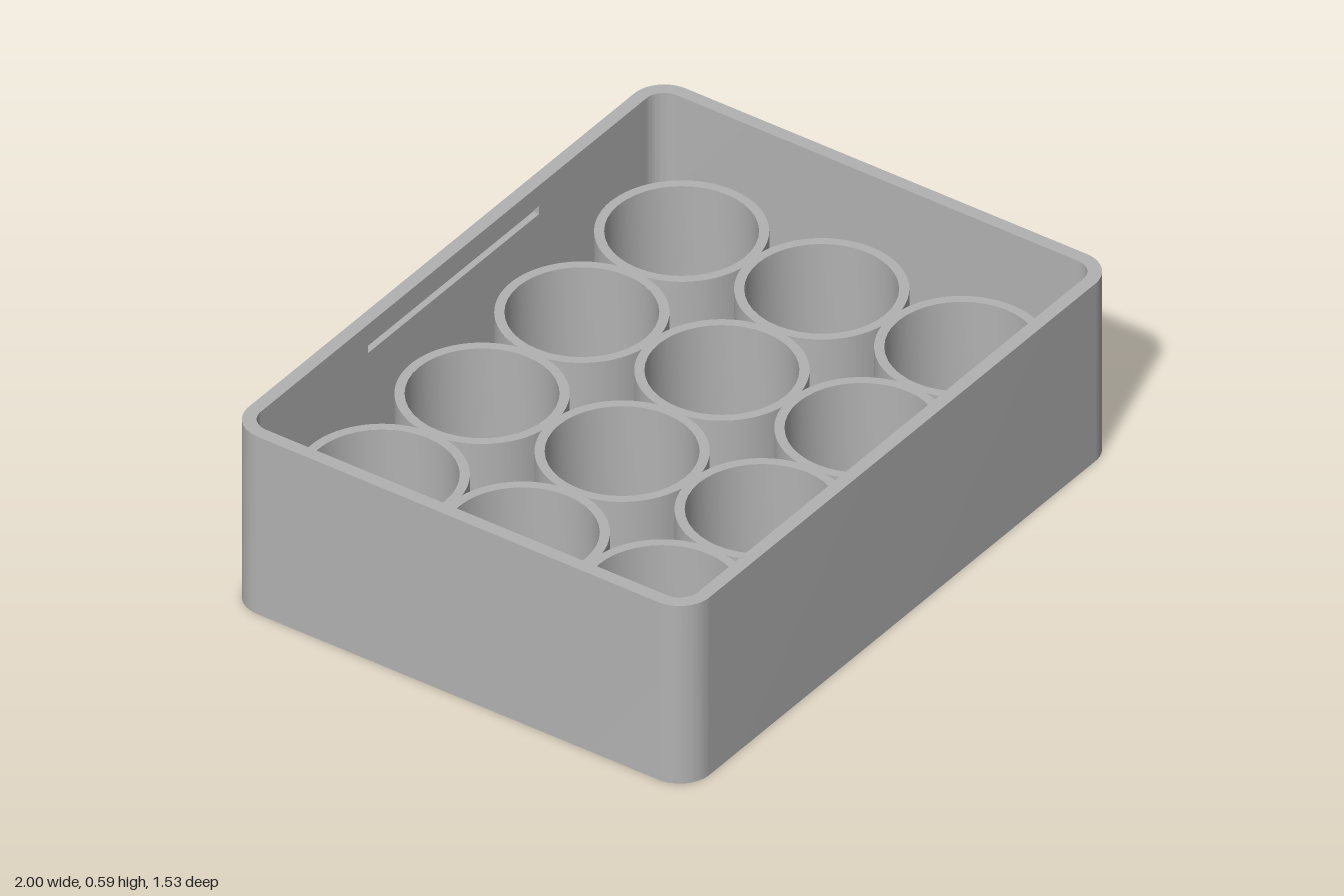
import * as THREE from 'three';
import { mergeGeometries, toCreasedNormals } from 'three/addons/utils/BufferGeometryUtils.js';

const W = 1, D = 0.767, H = 0.59, WALL = 0.04, FLOOR = 0.04; // half width, half depth, height
const R_OUT = 0.1, R_IN = 0.06;
const IW = W - WALL, ID = D - WALL;
const PITCH = 0.466, TUBE_OUT = 0.2375, TUBE_IN = 0.21, TUBE_TOP = 0.373;
const SLOT = { half: 0.4, y0: 0.495, y1: 0.522, depth: 0.02 };
const PI = Math.PI;

function roundedRect(w, d, r) {
  const s = new THREE.Shape();
  s.absarc(w - r, -d + r, r, -PI / 2, 0);
  s.absarc(w - r, d - r, r, 0, PI / 2);
  s.absarc(-w + r, d - r, r, PI / 2, PI);
  s.absarc(-w + r, -d + r, r, PI, 1.5 * PI);
  s.closePath();
  return s;
}

// Vertical wall along a plan outline, facing out when the points run anticlockwise
function wallStrip(points, y0, y1) {
  const pos = [];
  for (let i = 0; i < points.length - 1; i++) {
    const p = points[i], q = points[i + 1];
    if (p.distanceTo(q) < 1e-6) continue;
    const a = [p.x, y0, -p.y], b = [q.x, y0, -q.y], c = [q.x, y1, -q.y], d = [p.x, y1, -p.y];
    pos.push(...a, ...b, ...c, ...a, ...c, ...d);
  }
  const g = new THREE.BufferGeometry();
  g.setAttribute('position', new THREE.Float32BufferAttribute(pos, 3));
  return toCreasedNormals(g, 0.6);
}

// Flat plan shape lying at height y
function flat(shape, y, up = true) {
  return new THREE.ShapeGeometry(shape, 12).rotateX(up ? -PI / 2 : PI / 2).translate(0, y, 0);
}

// Scalloped block of joined tubes: outline, gaps between tubes, and bores
function tubeGridShape() {
  const cut = Math.acos(PITCH / 2 / TUBE_OUT);
  const xs = [-1.5, -0.5, 0.5, 1.5].map((k) => k * PITCH);
  const zs = [-1, 0, 1].map((k) => k * PITCH);
  const ring = [
    ...xs.map((x) => [x, zs[0]]), [xs[3], zs[1]],
    ...xs.slice().reverse().map((x) => [x, zs[2]]), [xs[0], zs[1]],
  ];
  const shape = new THREE.Shape();
  ring.forEach(([x, z], i) => {
    const prev = ring[(i + ring.length - 1) % ring.length], next = ring[(i + 1) % ring.length];
    const start = Math.atan2(prev[1] - z, prev[0] - x) + cut;
    let end = Math.atan2(next[1] - z, next[0] - x) - cut;
    while (end < start) end += 2 * PI;
    shape.absarc(x, z, TUBE_OUT, start, end, false);
  });
  shape.closePath();

  const corners = [[1, -1], [1, 1], [-1, 1], [-1, -1]];
  for (const cx of [-PITCH, 0, PITCH]) for (const cz of [-PITCH / 2, PITCH / 2]) {
    const gap = new THREE.Path();
    corners.forEach(([sx, sz], k) => {
      const start = PI - cut + k * PI / 2;
      gap.absarc(cx + sx * PITCH / 2, cz + sz * PITCH / 2, TUBE_OUT, start, start - PI / 2 + 2 * cut, true);
    });
    gap.closePath();
    shape.holes.push(gap);
  }
  for (const x of xs) for (const z of zs) {
    shape.holes.push(new THREE.Path().absarc(x, z, TUBE_IN, 0, 2 * PI, true));
  }
  return shape;
}

export function createModel() {
  const group = new THREE.Group();
  const grey = new THREE.MeshStandardMaterial({ color: 0xb2b2b2 });
  grey.name = 'plain grey';
  const add = (name, geometry) => {
    const mesh = new THREE.Mesh(geometry, grey);
    mesh.name = name;
    group.add(mesh);
    return mesh;
  };

  // Outside of the tray
  const outer = roundedRect(W, D, R_OUT), inner = roundedRect(IW, ID, R_IN);
  const outline = outer.getPoints(12);
  outline.push(outline[0].clone());
  add('outerWall', wallStrip(outline, 0, H));
  add('underside', flat(outer, 0, false));
  add('trayFloor', flat(inner, FLOOR));

  // Top rim
  const rim = roundedRect(W, D, R_OUT);
  rim.holes.push(inner);
  add('rim', flat(rim, H));

  // Inner end wall with its two rounded corners
  const end = new THREE.Path();
  end.absarc(IW - R_IN, -ID + R_IN, R_IN, -PI / 2, 0);
  end.absarc(IW - R_IN, ID - R_IN, R_IN, 0, PI / 2);
  const endGeometry = wallStrip(end.getPoints(12).reverse(), FLOOR, H);

  // Inner long wall with a latch slot cut into it
  const hx = IW - R_IN;
  const rect = (Type, w, y0, y1) => new Type([[-w, y0], [w, y0], [w, y1], [-w, y1]].map((p) => new THREE.Vector2(...p)));
  const panel = rect(THREE.Shape, hx, FLOOR, H);
  panel.holes.push(rect(THREE.Path, SLOT.half, SLOT.y0, SLOT.y1));
  const panelGeometry = new THREE.ShapeGeometry(panel).translate(0, 0, -ID);

  // Slot recess: a box turned inside out
  const recess = new THREE.BoxGeometry(2 * SLOT.half, SLOT.y1 - SLOT.y0, SLOT.depth);
  recess.index.array.reverse();
  const recessGeometry = recess.toNonIndexed();
  recessGeometry.computeVertexNormals();
  recessGeometry.translate(0, (SLOT.y0 + SLOT.y1) / 2, -ID - SLOT.depth / 2);
  const longWall = mergeGeometries([panelGeometry.toNonIndexed(), recessGeometry]);

  for (const turn of [0, PI]) {
    add(turn ? 'innerEndWallRight' : 'innerEndWallLeft', endGeometry).rotation.y = turn;
    add(turn ? 'innerFrontWall' : 'innerBackWall', longWall).rotation.y = turn;
  }

  // Three by four grid of joined tubes
  const base = FLOOR - 0.01;
  const tubes = new THREE.ExtrudeGeometry(tubeGridShape(), {
    depth: TUBE_TOP - base, bevelEnabled: false, curveSegments: 20,
  });
  tubes.rotateX(-PI / 2).translate(0, base, 0);
  add('tubeGrid', toCreasedNormals(tubes, 0.6));

  return group;
}
